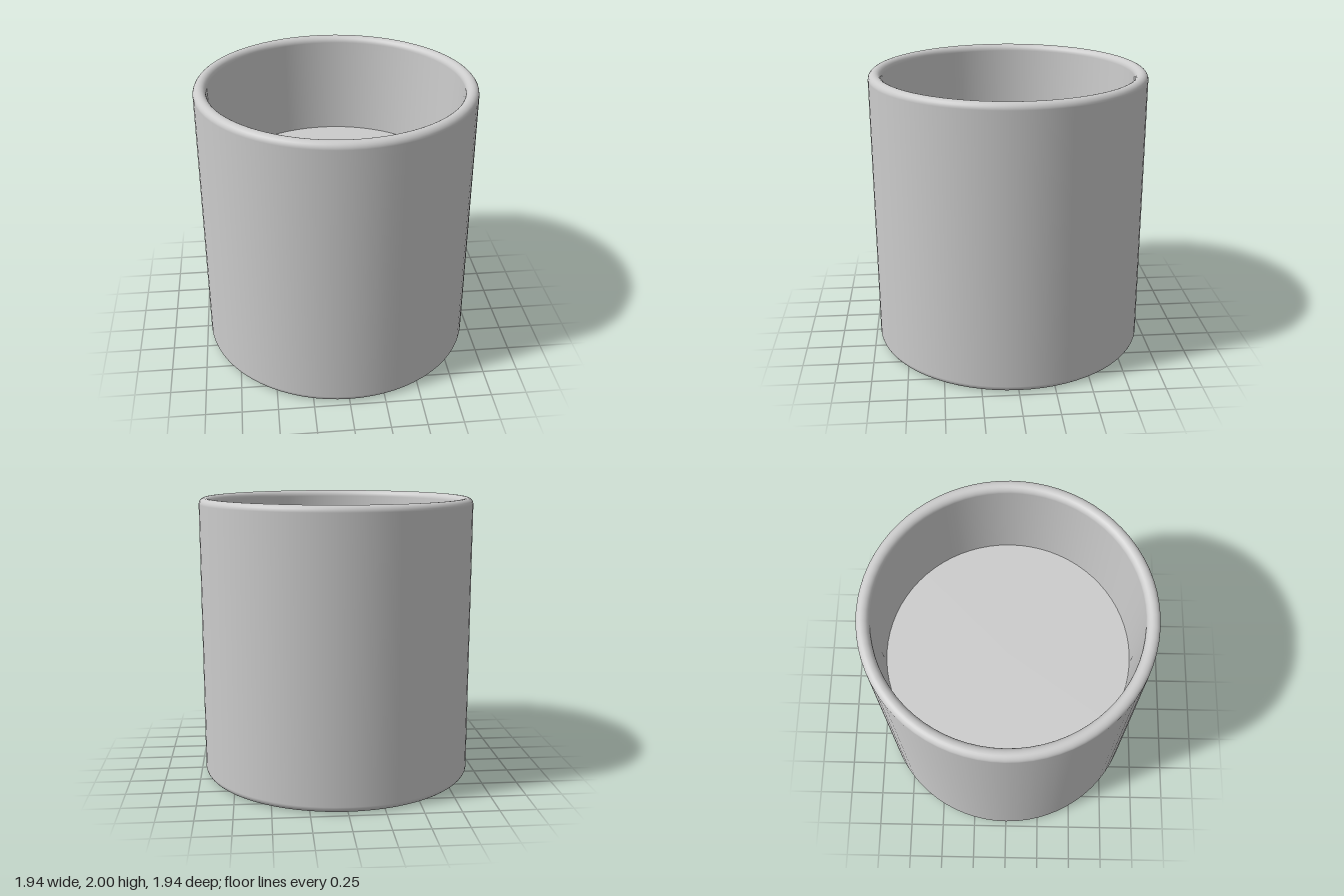
import * as THREE from 'three';

const SEGMENTS = 72;
const OUTER = 0.97, INNER = 0.88, FLOOR_R = 0.857, FLOOR_Y = 1.26, HEIGHT = 2;

// Quarter-round points in the profile plane
function arc(points, cx, cy, r, from, to, steps = 6) {
  for (let i = 0; i <= steps; i++) {
    const a = from + (to - from) * (i / steps);
    points.push(new THREE.Vector2(cx + r * Math.cos(a), cy + r * Math.sin(a)));
  }
}

export function createModel() {
  const group = new THREE.Group();
  const material = new THREE.MeshStandardMaterial({ color: 0xcccccc });
  const add = (name, geometry) => {
    const mesh = new THREE.Mesh(geometry, material);
    mesh.name = name;
    group.add(mesh);
    return mesh;
  };

  // Outer wall, rounded foot and lip, slightly tapered inner wall
  const foot = 0.045, lip = (OUTER - INNER) / 2;
  const profile = [];
  arc(profile, OUTER - foot, foot, foot, -Math.PI / 2, 0);
  arc(profile, OUTER - lip, HEIGHT - lip, lip, 0, Math.PI, 12);
  profile.push(new THREE.Vector2(FLOOR_R, FLOOR_Y));
  add('cupWall', new THREE.LatheGeometry(profile, SEGMENTS));

  // Flat inner floor
  const floor = add('innerFloor', new THREE.CircleGeometry(FLOOR_R, SEGMENTS));
  floor.rotation.x = -Math.PI / 2;
  floor.position.y = FLOOR_Y;

  // Flat underside
  const base = add('base', new THREE.CircleGeometry(OUTER - foot, SEGMENTS));
  base.rotation.x = Math.PI / 2;

  return group;
}
